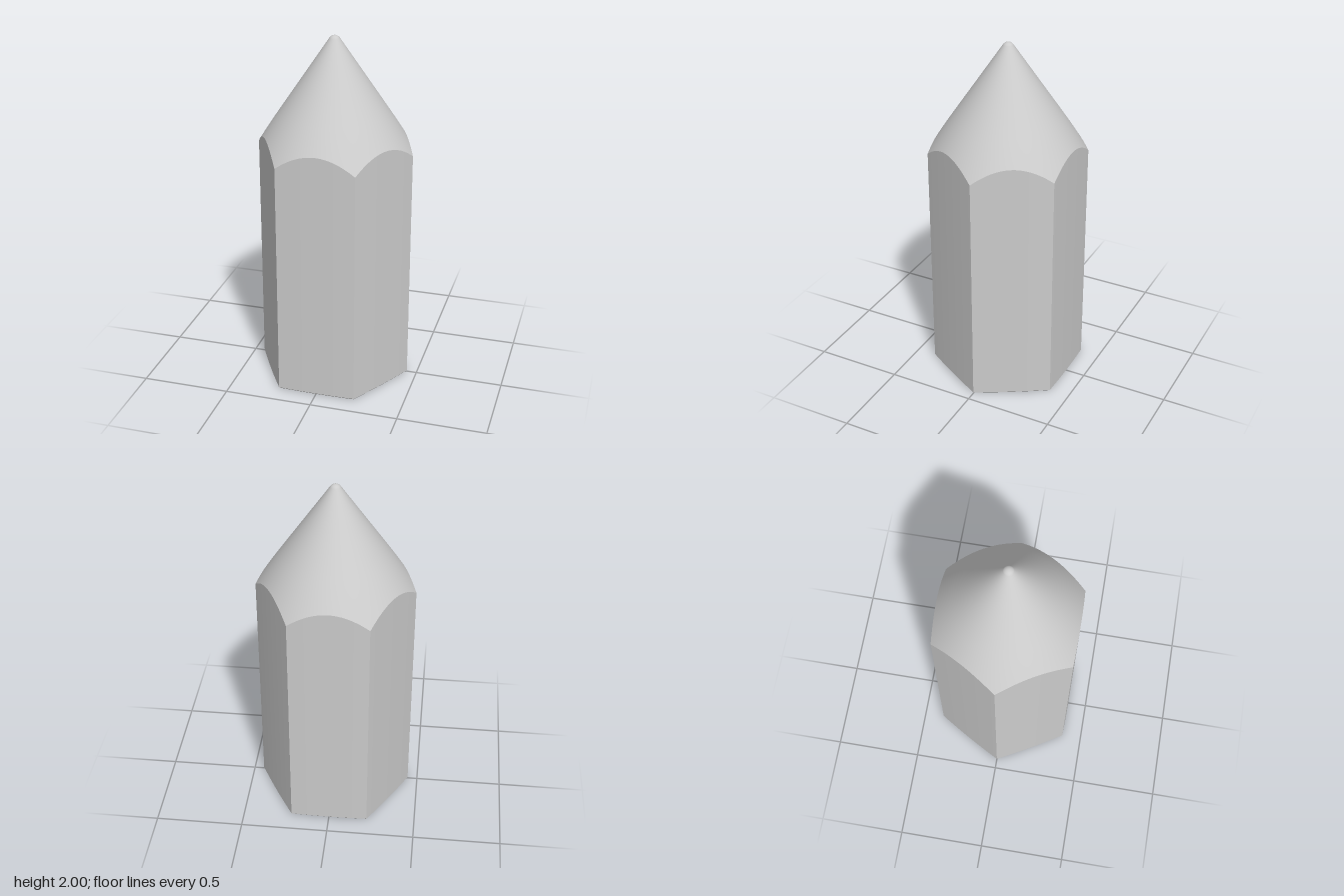
import * as THREE from 'three';
import { ParametricGeometry } from 'three/addons/geometries/ParametricGeometry.js';

const CORNER = 0.443, SIDE_BULGE = 0.005, BEVEL = 0.006;
const TIP_RADIUS = 0.0285, TIP_Y = 1.985, SLOPE = 1.488;

// Height of the sharpened cone at a given distance from the axis
const coneHeight = (r) => TIP_Y - SLOPE * (r - TIP_RADIUS) - 0.54 * Math.max(0, r - 0.3) ** 2;

// Point on the front side of the slightly bowed hexagon, u from 0 to 1
function outline(u) {
  const t = 2 * u - 1;
  return {
    x: t * CORNER / 2,
    z: CORNER * Math.cos(Math.PI / 6) + SIDE_BULGE * (1 - t * t),
  };
}

export function createModel() {
  const model = new THREE.Group();
  const material = new THREE.MeshStandardMaterial({ color: 0xcccccc });

  const add = (parent, name, geometry) => {
    const mesh = new THREE.Mesh(geometry, material);
    mesh.name = name;
    parent.add(mesh);
    return mesh;
  };

  // Flat side, ending in the scallop where the cone cuts it
  const side = new ParametricGeometry((u, v, p) => {
    const { x, z } = outline(u);
    p.set(x, THREE.MathUtils.lerp(BEVEL, coneHeight(Math.hypot(x, z)), v), z);
  }, 24, 1);

  // Narrow bevel around the foot
  const bevel = new ParametricGeometry((u, v, p) => {
    const { x, z } = outline(u);
    const s = 1 - (1 - v) * BEVEL / CORNER;
    p.set(x * s, v * BEVEL, z * s);
  }, 24, 1);

  // Sixth of the flat base
  const base = new ParametricGeometry((u, v, p) => {
    const { x, z } = outline(u);
    const s = v * (1 - BEVEL / CORNER);
    p.set(x * s, 0, z * s);
  }, 24, 1);
  base.computeVertexNormals();

  // Sixth of the sharpened cone, from the scallop up to the rounded tip
  const cone = new ParametricGeometry((u, v, p) => {
    const { x, z } = outline(u);
    const edge = Math.hypot(x, z);
    const r = THREE.MathUtils.lerp(edge, TIP_RADIUS, v);
    p.set(x * r / edge, coneHeight(r), z * r / edge);
  }, 24, 16);

  // Repeat the six segments around the axis
  for (let i = 0; i < 6; i++) {
    const segment = new THREE.Group();
    segment.name = `segment${i + 1}`;
    segment.rotation.y = i * Math.PI / 3;
    add(segment, 'bodySide', side);
    add(segment, 'footBevel', bevel);
    add(segment, 'base', base);
    add(segment, 'sharpenedCone', cone);
    model.add(segment);
  }

  // Rounded point, tangent to the cone
  const halfAngle = Math.atan(1 / SLOPE);
  const radius = TIP_RADIUS / Math.cos(halfAngle);
  const tip = add(model, 'roundedTip',
    new THREE.SphereGeometry(radius, 144, 10, 0, Math.PI * 2, 0, Math.PI / 2 - halfAngle));
  tip.position.y = TIP_Y - radius * Math.sin(halfAngle);

  return model;
}
